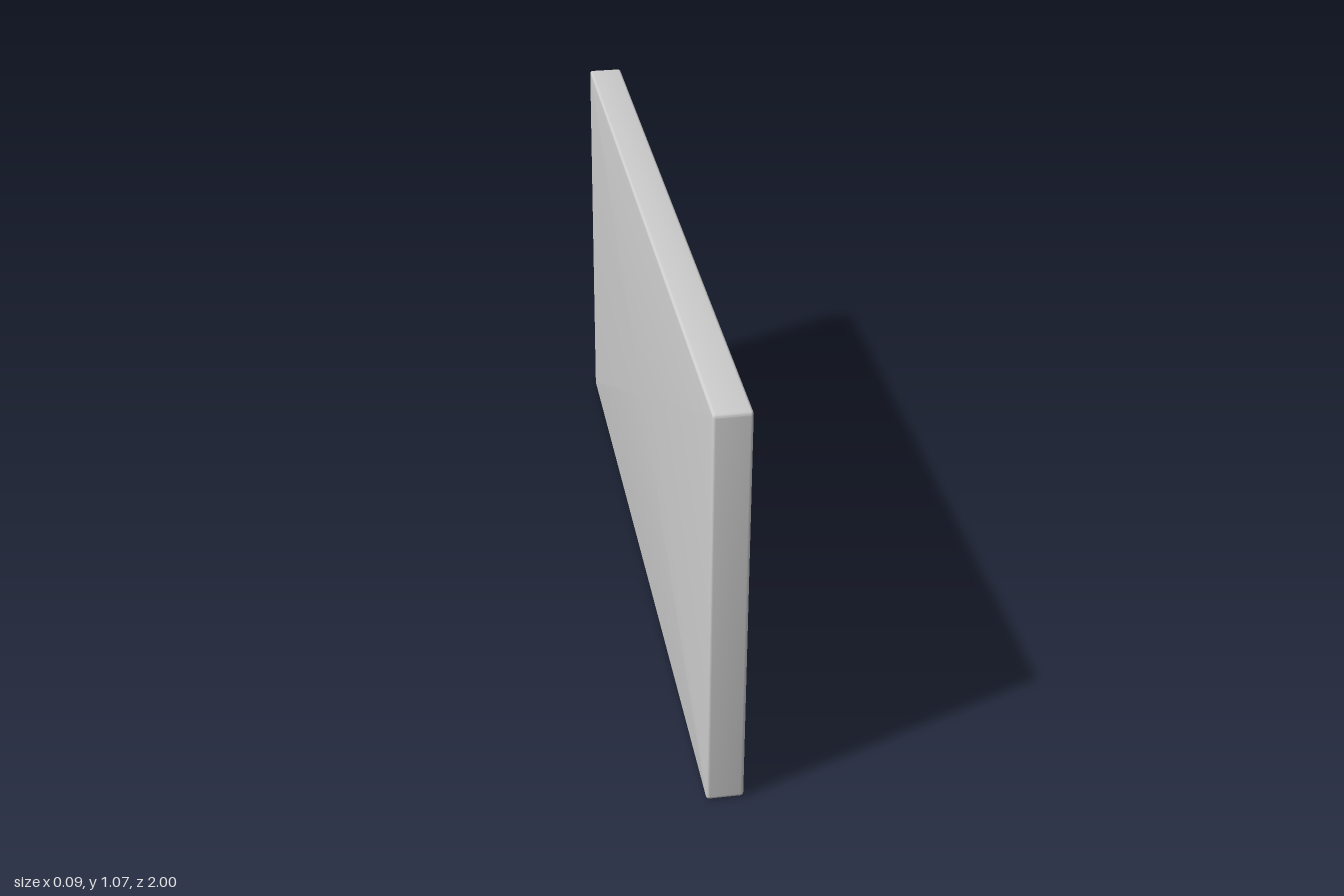
import * as THREE from 'three';
import { toCreasedNormals } from 'three/addons/utils/BufferGeometryUtils.js';

const LENGTH = 2, HEIGHT = 1.065, HALF_THICK = 0.045;
const BORDER = 0.166, FLOOR_X = 0.005, ROUND = 0.008;
const STEPS = 6; // segments per rounded edge

// Quarter arc in (x, inset) coordinates
function arc(cx, cInset, from, to) {
  return Array.from({ length: STEPS + 1 }, (_, i) => {
    const a = from + ((to - from) * i) / STEPS;
    return [cx + ROUND * Math.cos(a), cInset + ROUND * Math.sin(a)];
  });
}

// Rounded rectangle ring at depth x, shrunk by inset, counter-clockwise seen from +x
function ring(x, inset) {
  const r = Math.max(0.003, 0.011 - inset);
  const w = LENGTH / 2 - inset - r, h = HEIGHT / 2 - inset - r;
  const points = [];
  [[1, 1], [-1, 1], [-1, -1], [1, -1]].forEach(([su, sv], corner) => {
    for (let i = 0; i <= STEPS; i++) {
      const a = (corner + i / STEPS) * Math.PI / 2;
      const u = su * w + r * Math.cos(a), v = sv * h + r * Math.sin(a);
      points.push([x, HEIGHT / 2 + v, -u]);
    }
  });
  return points;
}

// Skin between consecutive rings, closed with a fan at both ends
function loft(rings) {
  const n = rings[0].length, positions = [], index = [];
  rings.forEach((points) => points.forEach((p) => positions.push(...p)));
  const first = positions.length / 3, last = first + 1;
  positions.push(rings[0][0][0], HEIGHT / 2, 0, rings.at(-1)[0][0], HEIGHT / 2, 0);
  const top = (rings.length - 1) * n;
  for (let j = 0; j < n; j++) {
    const k = (j + 1) % n;
    for (let i = 0; i < rings.length - 1; i++) {
      const a = i * n + j, b = i * n + k;
      index.push(a, b, b + n, a, b + n, a + n);
    }
    index.push(first, k, j, last, top + j, top + k);
  }
  const geometry = new THREE.BufferGeometry();
  geometry.setAttribute('position', new THREE.Float32BufferAttribute(positions, 3));
  geometry.setIndex(index);
  return toCreasedNormals(geometry, 0.32);
}

export function createModel() {
  const group = new THREE.Group();
  group.name = 'recessedPanel';
  const edge = HALF_THICK - ROUND, PI = Math.PI;

  // Section from the flat back, round the outer edge, over the border and into the recess
  const section = [
    ...arc(-edge, ROUND, PI, PI * 1.5),
    ...arc(edge, ROUND, -PI / 2, 0),
    ...arc(edge, BORDER - ROUND, 0, PI / 2),
    [FLOOR_X, BORDER],
  ];
  const panel = new THREE.Mesh(
    loft(section.map(([x, inset]) => ring(x, inset))),
    new THREE.MeshStandardMaterial({ color: 0xcccccc })
  );
  panel.name = 'panelWithRecess';
  group.add(panel);
  return group;
}
